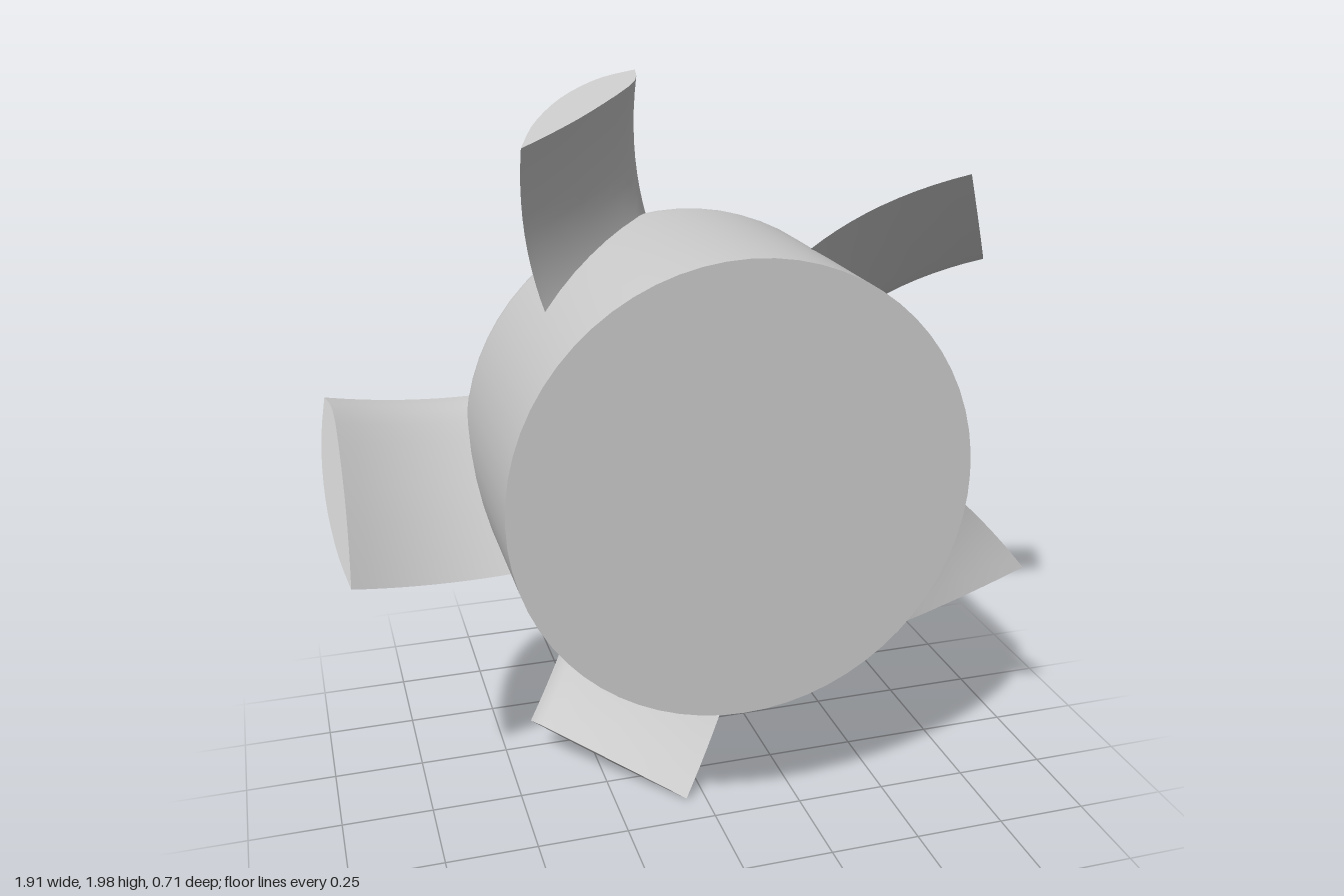
import * as THREE from 'three';
import { toCreasedNormals } from 'three/addons/utils/BufferGeometryUtils.js';

const BLADES = 5;
const V2 = (x, y) => new THREE.Vector2(x, y);

// Quarter-circle points for rounded rims
function arc(cx, cy, r, from, to, steps = 8) {
  return Array.from({ length: steps + 1 }, (_, i) => {
    const a = from + (to - from) * i / steps;
    return V2(cx + r * Math.cos(a), cy + r * Math.sin(a));
  });
}

// Drum with a flat front, a rounded back rim and a shallow dimple in the back
function hubGeometry() {
  const R = 0.61, H = 0.355, f = 0.105;
  const profile = [
    V2(0, -H), V2(R, -H),
    ...arc(R - f, H - f, f, 0, Math.PI / 2),
    ...arc(0.115, H - 0.02, 0.02, Math.PI / 2, Math.PI, 5),
    ...arc(0.08, H - 0.02, 0.015, 0, -Math.PI / 2, 4),
    V2(0, H - 0.035),
  ];
  const geo = new THREE.LatheGeometry(profile, 64);
  geo.rotateX(-Math.PI / 2);
  return toCreasedNormals(geo, 0.7);
}

// Cambered blade pointing along +x, its span bending towards the front
function bladeGeometry() {
  const N = 14, rings = 12, rIn = 0.45, rTip = 0.975;
  const back = new THREE.SplineCurve([
    V2(-0.265, 0.01), V2(-0.15, -0.035), V2(0, -0.06), V2(0.15, -0.05), V2(0.265, -0.01),
  ]).getPoints(N);
  const front = new THREE.SplineCurve([
    V2(0.265, -0.01), V2(0.2, 0.025), V2(0, 0.03), V2(-0.15, 0.022), V2(-0.265, 0.01),
  ]).getPoints(N);
  const outline = [...back, ...front.slice(1, -1)];
  const M = outline.length;

  // Chord and thickness directions
  const c = new THREE.Vector3(0, -0.757, -0.653);
  const n = new THREE.Vector3(0, -0.653, 0.757);
  const u = new THREE.Vector3(1, 0, 0);
  const pos = [], index = [];
  for (let k = 0; k <= rings; k++) {
    const r = rIn + (rTip - rIn) * k / rings;
    const d = Math.max(0, r - 0.5);
    const theta = Math.atan(1.24 * d);
    const drift = 0.025 * (rTip - r) / 0.4;
    const m = n.clone().multiplyScalar(Math.cos(theta)).addScaledVector(u, -Math.sin(theta));
    for (const p of outline) {
      const v = u.clone().multiplyScalar(r)
        .addScaledVector(n, -0.17 + 0.62 * d * d)
        .addScaledVector(c, p.x + drift + 0.006)
        .addScaledVector(m, p.y);
      pos.push(v.x, v.y, v.z);
    }
  }
  for (let k = 0; k < rings; k++) {
    for (let i = 0; i < M; i++) {
      const a = k * M + i, e = k * M + (i + 1) % M;
      index.push(a, a + M, e, a + M, e + M, e);
    }
  }
  // Tip and root caps, joining back and front points across the thickness
  for (let i = 0; i < N; i++) {
    const b0 = i, b1 = i + 1, f0 = (M - i) % M, f1 = M - i - 1;
    const t = rings * M;
    index.push(t + b0, t + f1, t + b1, b0, b1, f1);
    if (i > 0) index.push(t + b0, t + f0, t + f1, b0, f1, f0);
  }
  const geo = new THREE.BufferGeometry();
  geo.setAttribute('position', new THREE.Float32BufferAttribute(pos, 3));
  geo.setIndex(index);
  return toCreasedNormals(geo, 0.6);
}

export function createModel() {
  const group = new THREE.Group();
  group.name = 'fanRotor';
  const material = new THREE.MeshStandardMaterial({ color: 0xcccccc });

  const rotor = new THREE.Group();
  rotor.name = 'rotor';
  rotor.position.set(0.045, 1.005, 0);
  group.add(rotor);

  const hub = new THREE.Mesh(hubGeometry(), material);
  hub.name = 'hub';
  rotor.add(hub);

  const blade = bladeGeometry();
  for (let i = 0; i < BLADES; i++) {
    const mesh = new THREE.Mesh(blade, material);
    mesh.name = `blade${i + 1}`;
    mesh.rotation.z = Math.PI + i * 2 * Math.PI / BLADES;
    rotor.add(mesh);
  }
  return group;
}
